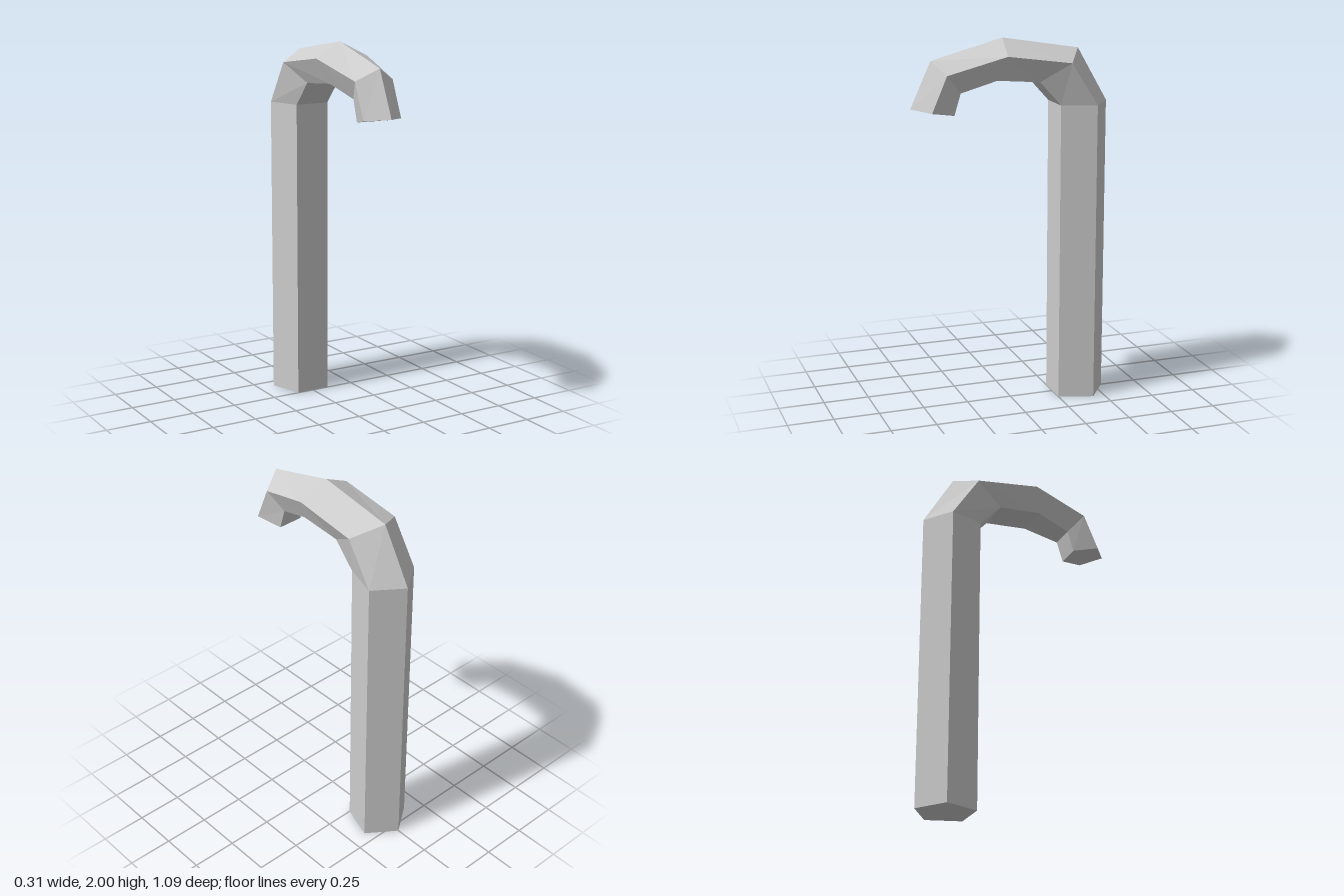
import * as THREE from 'three';

// Each section: [z, y] of the outer ridge, side corners and inner corners, then side and inner half widths
const shaftSections = [
  [[-0.547, 0], [-0.435, 0], [-0.25, 0], 0.155, 0.096],
  [[-0.547, 1.64], [-0.435, 1.64], [-0.25, 1.64], 0.155, 0.096],
];
const hookSections = [
  shaftSections[1],
  [[-0.38, 1.93], [-0.288, 1.87], [-0.132, 1.77], 0.155, 0.096],
  [[0.045, 2.0], [0.066, 1.92], [0.105, 1.79], 0.155, 0.096],
  [[0.435, 1.895], [0.38, 1.83], [0.295, 1.73], 0.112, 0.069],
  [[0.547, 1.65], [0.462, 1.64], [0.33, 1.615], 0.112, 0.069],
];

// Five corners of a section, from the outer ridge round by +x
function ring([outer, side, inner, sideX, innerX]) {
  const at = (x, [z, y]) => [x, y, z];
  return [at(0, outer), at(sideX, side), at(innerX, inner), at(-innerX, inner), at(-sideX, side)];
}

// Skin a run of sections, optionally closing its start or end
function loft(sections, capStart, capEnd) {
  const rings = sections.map(ring);
  const positions = [];
  const tri = (a, b, c) => positions.push(...a, ...b, ...c);
  for (let r = 0; r < rings.length - 1; r++) {
    for (let i = 0; i < 5; i++) {
      const j = (i + 1) % 5;
      const a = rings[r][i], b = rings[r][j];
      const c = rings[r + 1][i], d = rings[r + 1][j];
      tri(a, c, b);
      tri(b, c, d);
    }
  }
  const first = rings[0], last = rings[rings.length - 1];
  for (let i = 1; i < 4; i++) {
    if (capStart) tri(first[0], first[i], first[i + 1]);
    if (capEnd) tri(last[0], last[i + 1], last[i]);
  }
  const geometry = new THREE.BufferGeometry();
  geometry.setAttribute('position', new THREE.Float32BufferAttribute(positions, 3));
  geometry.computeVertexNormals();
  return geometry;
}

export function createModel() {
  const group = new THREE.Group();
  group.name = 'cane';
  const grey = new THREE.MeshStandardMaterial({ color: 0xcccccc, flatShading: true });
  grey.name = 'light grey';

  // Straight five-sided shaft, closed underneath
  const shaft = new THREE.Mesh(loft(shaftSections, true, false), grey);
  shaft.name = 'shaft';

  // Bent handle that narrows to a closed tip
  const hook = new THREE.Mesh(loft(hookSections, false, true), grey);
  hook.name = 'hook';

  group.add(shaft, hook);
  return group;
}
